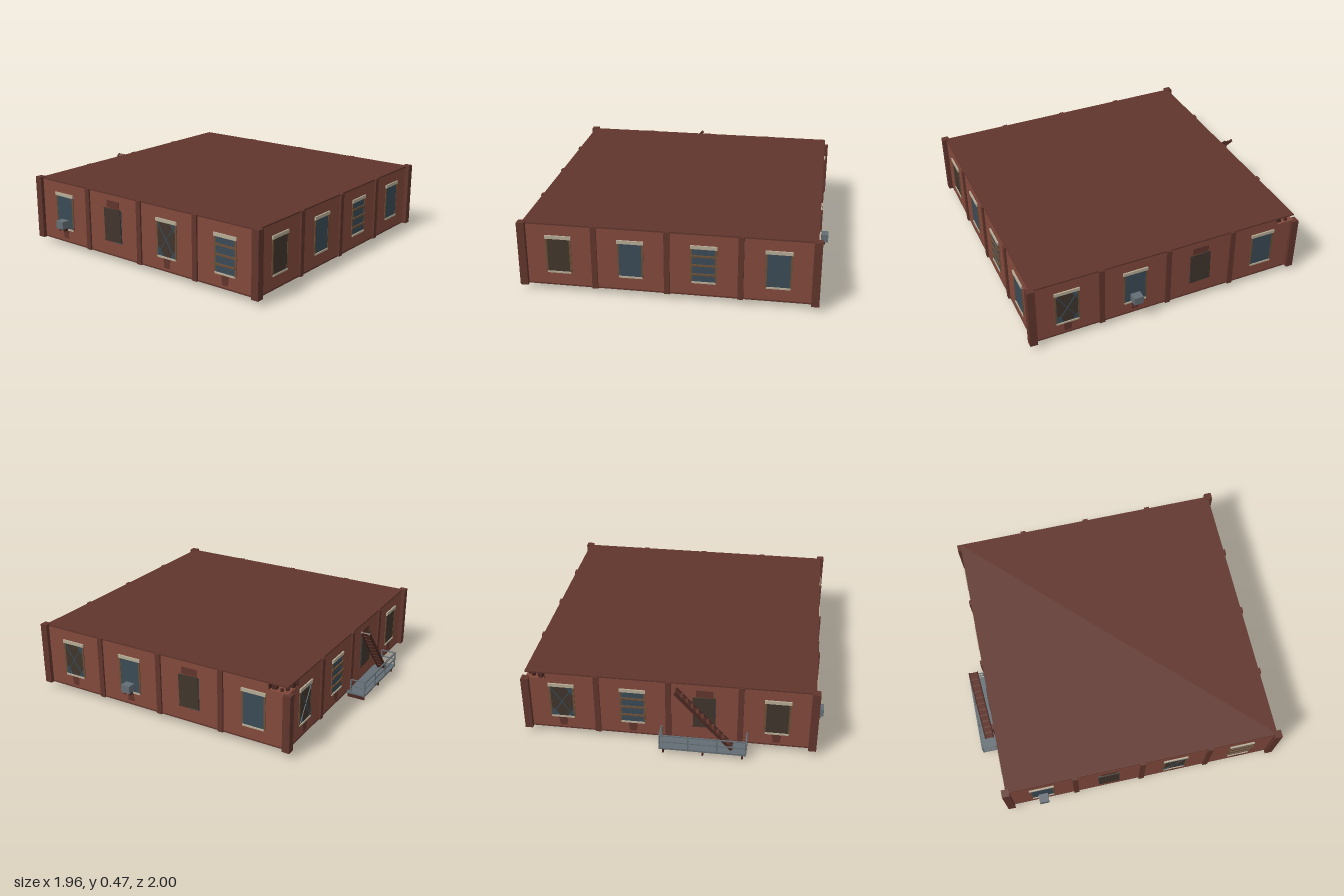
import * as THREE from 'three';

const mat = (name, color, side = THREE.FrontSide) => {
  const m = new THREE.MeshStandardMaterial({ color, side });
  m.name = name;
  return m;
};
const M = {
  brick: mat('brick', 0x82493c),
  trim: mat('dark brick', 0x60352c),
  glass: mat('glass', 0x3a4a55, THREE.DoubleSide),
  dark: mat('dark opening', 0x40352c),
  stone: mat('pale stone', 0xb5aa94),
  wood: mat('wood', 0x6b4e36),
  metal: mat('grey metal', 0x636d73),
  rust: mat('rusty steel', 0x4a2822),
};

// Box given by its limits on each axis
function box(parent, name, m, x0, x1, y0, y1, z0, z1) {
  const mesh = new THREE.Mesh(new THREE.BoxGeometry(x1 - x0, y1 - y0, z1 - z0), m);
  mesh.position.set((x0 + x1) / 2, (y0 + y1) / 2, (z0 + z1) / 2);
  mesh.name = name;
  parent.add(mesh);
  return mesh;
}

// Straight bar between two points in a wall plane
function bar(parent, name, m, x0, y0, x1, y1, z, width, depth) {
  const mesh = box(parent, name, m, 0, Math.hypot(x1 - x0, y1 - y0), 0, width, 0, depth);
  mesh.position.set((x0 + x1) / 2, (y0 + y1) / 2, z);
  mesh.rotation.z = Math.atan2(y1 - y0, x1 - x0);
  return mesh;
}

// Flat polygon facing out of the wall
function plate(parent, name, m, pts, z) {
  const shape = new THREE.Shape(pts.map(([x, y]) => new THREE.Vector2(x, y)));
  const mesh = new THREE.Mesh(new THREE.ShapeGeometry(shape), m);
  mesh.position.z = z;
  mesh.name = name;
  parent.add(mesh);
}

// One window; local z = 0 is the wall face, +z points outwards
function makeWindow(kind, { stain = false, unit = false } = {}) {
  const g = new THREE.Group();
  g.name = kind + 'Window';
  const paneMat = kind === 'dark' || kind === 'broken' ? M.dark : M.glass;
  box(g, 'pane', paneMat, -0.072, 0.072, 0.138, 0.362, -0.01, 0.003);

  if (kind === 'boarded') {
    // Crooked panel and a dark patch above it
    const panel = box(g, 'coverPanel', M.dark, -0.073, 0.07, 0.147, 0.368, 0.004, 0.011);
    panel.rotation.z = 0.025;
    box(g, 'wallPatch', M.trim, -0.055, 0.055, 0.37, 0.418, -0.01, 0.004);
    box(g, 'looseSill', M.trim, -0.08, -0.01, 0.138, 0.147, 0, 0.006);
    return g;
  }
  for (const s of [-1, 1]) {
    box(g, 'jamb', M.wood, s * 0.077 - 0.006, s * 0.077 + 0.006, 0.14, 0.365, -0.01, 0.005);
  }
  box(g, 'lintel', M.stone, -0.084, 0.084, 0.365, 0.387, -0.01, 0.01);
  box(g, 'sill', M.stone, -0.075, 0.075, 0.13, 0.141, -0.01, 0.009);

  if (kind === 'planked') {
    [[0.316, 0.085, 0], [0.254, 0.085, 0.01], [0.192, 0.083, -0.005]].forEach(([y, w, dx]) =>
      box(g, 'plank', M.wood, dx - w, dx + w, y - 0.006, y + 0.006, 0.003, 0.011));
  }
  if (kind === 'broken') {
    plate(g, 'shard', M.glass, [[-0.072, 0.142], [-0.02, 0.142], [-0.05, 0.19], [-0.072, 0.2]], 0.004);
    plate(g, 'shard', M.glass, [[0.072, 0.142], [0.072, 0.2], [0.03, 0.142]], 0.004);
    plate(g, 'shard', M.glass, [[0.072, 0.36], [0.03, 0.36], [0.072, 0.3]], 0.004);
    bar(g, 'crossBar', M.glass, -0.07, 0.145, 0.07, 0.358, 0.006, 0.006, 0.004);
    bar(g, 'crossBar', M.glass, -0.07, 0.358, 0.07, 0.145, 0.006, 0.006, 0.004);
  }
  if (stain) {
    plate(g, 'stain', M.trim, [[-0.022, 0.065], [0.022, 0.065], [0.03, 0.13], [-0.03, 0.13]], 0.003);
  }
  if (unit) {
    // Cooling unit on two brackets
    box(g, 'coolingUnit', M.metal, -0.032, 0.032, 0.15, 0.203, 0, 0.06);
    for (const x of [-0.02, 0.02]) box(g, 'unitBracket', M.rust, x - 0.004, x + 0.004, 0.13, 0.15, 0, 0.042);
    box(g, 'unitStain', M.trim, -0.023, 0.023, 0.07, 0.13, 0, 0.003);
  }
  return g;
}

// Fire escape on the back wall
function makeFireEscape() {
  const g = new THREE.Group();
  g.name = 'fireEscape';
  const x0 = -0.51, x1 = 0.045, zOut = -1, zIn = -0.87;
  box(g, 'platform', M.metal, x0, x1, 0.035, 0.047, zOut, zIn);
  for (const x of [-0.485, -0.233, 0.02]) box(g, 'platformBracket', M.rust, x - 0.005, x + 0.005, 0, 0.035, -0.99, zIn);

  const t = 0.008;
  for (const y of [0.09, 0.137]) {
    box(g, 'frontRail', M.metal, x0, x1, y, y + t * 0.8, zOut, zOut + t);
    for (const x of [x0, x1 - t]) box(g, 'sideRail', M.metal, x, x + t, y, y + t * 0.8, zOut, -0.895);
  }
  for (let i = 0; i < 4; i++) {
    const x = x0 + (i * (x1 - x0 - t)) / 3;
    box(g, 'railPost', M.metal, x, x + t, 0.047, 0.14, zOut, zOut + t);
  }
  for (const x of [x0, x1 - t]) box(g, 'railPost', M.metal, x, x + t, 0.047, 0.14, -0.9, -0.892);

  // Stair rises towards the model's left
  const a = [-0.415, 0.05], b = [-0.055, 0.452];
  for (const z of [-0.972, -0.916]) bar(g, 'stringer', M.rust, ...a, ...b, z + 0.004, 0.018, 0.008);
  bar(g, 'stairDeck', M.trim, ...a, ...b, -0.94, 0.008, 0.05);
  const steps = 11;
  for (let i = 1; i < steps; i++) {
    const x = a[0] + ((b[0] - a[0]) * i) / steps, y = a[1] + ((b[1] - a[1]) * i) / steps;
    box(g, 'tread', M.trim, x - 0.014, x + 0.012, y, y + 0.006, -0.966, -0.914);
  }
  return g;
}

export function createModel() {
  const model = new THREE.Group();
  model.name = 'brickBuildingFloor';
  const W = 0.92, ZB = -0.87, ZF = 0.97, ZC = 0.05;
  const notchY = 0.418, roofY = 0.456;

  // Main block
  box(model, 'floorSlab', M.trim, -W, W, 0.04, 0.05, ZB, ZF);
  box(model, 'walls', M.brick, -W, W, 0.05, notchY, ZB, ZF);
  box(model, 'roof', M.trim, -W, W, roofY, 0.466, ZB, ZF);

  // Upper wall courses with the broken back corner left out
  const cx = 0.79, cz = -0.74;
  box(model, 'upperWalls', M.brick, -W, W, notchY, roofY, cz, ZF);
  box(model, 'upperBackWall', M.brick, -W, cx, notchY, roofY, ZB, cz);
  box(model, 'brokenEdge', M.rust, cx, cx + 0.004, notchY, roofY, ZB, cz);
  box(model, 'brokenEdge', M.rust, cx, W, notchY, roofY, cz - 0.004, cz);
  [[0.89, -0.77, 0.03], [0.87, -0.84, 0.022], [0.82, -0.85, 0.03], [0.9, -0.82, 0.018]].forEach(([x, z, s], i) => {
    const r = box(model, 'rubble', M.rust, x - s / 2, x + s / 2, notchY, notchY + s, z - s / 2, z + s / 2);
    r.rotation.y = i * 0.7;
  });

  // Corner pillars, the broken one shorter
  for (const sx of [-1, 1]) for (const sz of [-1, 1]) {
    const x = sx * 0.92, z = ZC + sz * 0.923;
    const top = sx > 0 && sz < 0 ? notchY : 0.47;
    box(model, 'cornerPillar', M.trim, x - 0.025, x + 0.025, 0.038, top, z - 0.025, z + 0.025);
  }

  // Windows and pilasters per wall, listed left to right as seen from outside
  const walls = [
    ['frontWall', 0, 0, ZF, [['dark'], ['glass'], ['planked'], ['glass']]],
    ['rightWall', Math.PI / 2, W, ZC, [['broken', { stain: true }], ['glass', { unit: true }], ['boarded'], ['glass']]],
    ['backWall', Math.PI, 0, ZB, [['broken', { stain: true }], ['planked', { stain: true }], ['boarded'], ['dark', { stain: true }]]],
    ['leftWall', -Math.PI / 2, -W, ZC, [['glass', { unit: true }], ['boarded'], ['broken', { stain: true }], ['planked', { stain: true }]]],
  ];
  for (const [name, turn, x, z, kinds] of walls) {
    const wall = new THREE.Group();
    wall.name = name;
    wall.position.set(x, 0, z);
    wall.rotation.y = turn;
    kinds.forEach(([kind, options], i) => {
      const w = makeWindow(kind, options);
      w.position.x = -0.69 + i * 0.46;
      wall.add(w);
    });
    for (const px of [-0.46, 0, 0.46]) box(wall, 'pilaster', M.trim, px - 0.018, px + 0.018, 0.04, 0.465, -0.005, 0.012);
    model.add(wall);
  }

  model.add(makeFireEscape());
  return model;
}
